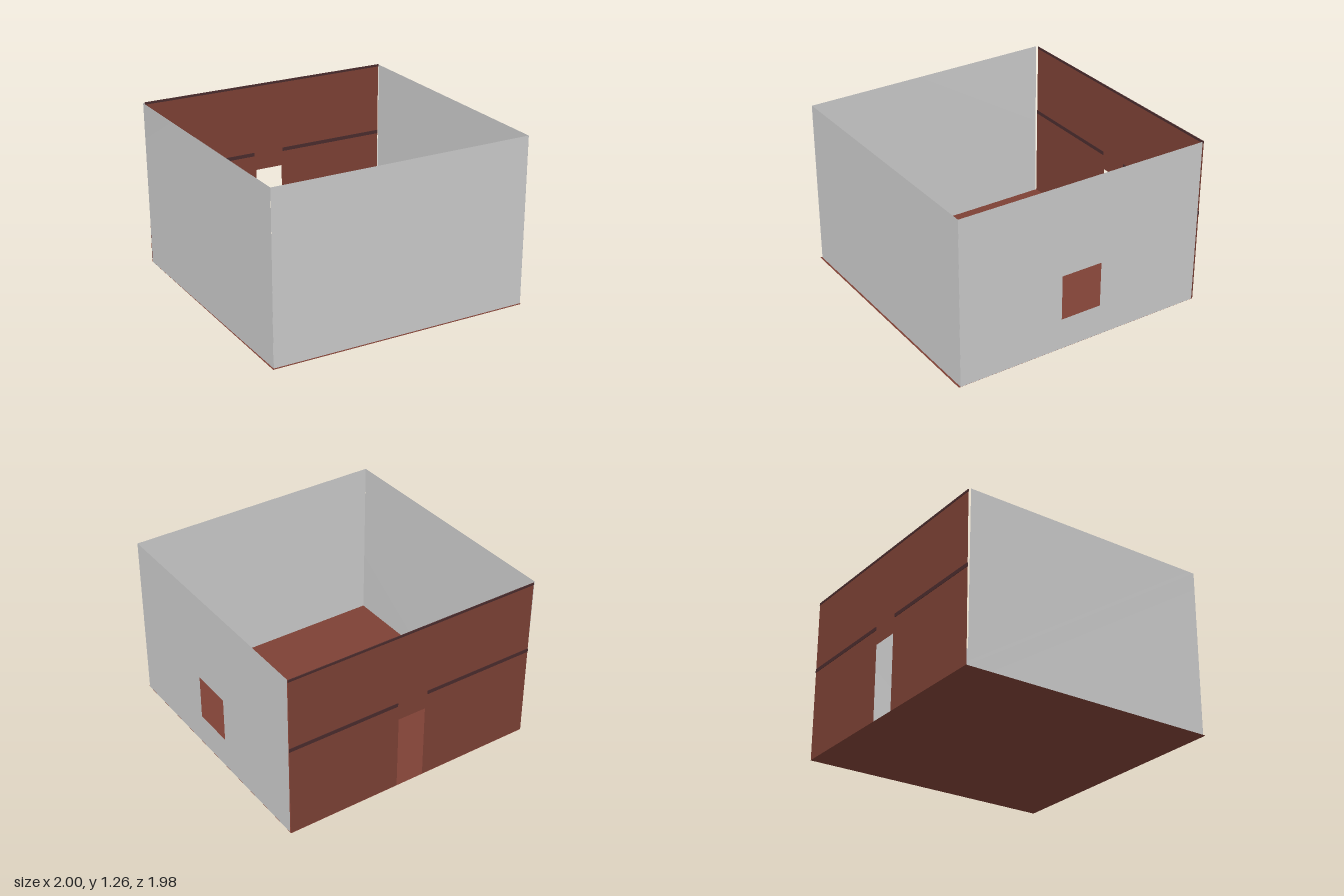
import * as THREE from 'three';

const paint = (name, color) => {
  const m = new THREE.MeshStandardMaterial({ color, side: THREE.DoubleSide });
  m.name = name;
  return m;
};

// Flat upright panel from x0 to x1, with an optional rectangular opening
function panel(x0, x1, height, hole) {
  const rect = (Type, a, b, c, d) => {
    const s = new Type();
    s.moveTo(a, b);
    s.lineTo(c, b);
    s.lineTo(c, d);
    s.lineTo(a, d);
    s.closePath();
    return s;
  };
  const shape = rect(THREE.Shape, x0, 0, x1, height);
  if (hole) shape.holes.push(rect(THREE.Path, ...hole));
  return new THREE.ShapeGeometry(shape);
}

export function createModel() {
  const group = new THREE.Group();
  group.name = 'roomShell';
  const grey = paint('wallGrey', 0xcccccc);
  const brown = paint('brickBrown', 0x7d4135);
  const dark = paint('darkTrim', 0x4a2c2d);
  const H = 1.26, BACK = -0.987;

  const add = (name, geometry, material, x = 0, y = 0, z = 0) => {
    const mesh = new THREE.Mesh(geometry, material);
    mesh.name = name;
    mesh.position.set(x, y, z);
    group.add(mesh);
    return mesh;
  };

  // Floor sheet
  add('floor', new THREE.PlaneGeometry(1.982, 1.98).rotateX(-Math.PI / 2), brown, 0.006);

  // Plain front wall, set slightly in from the floor edge
  add('frontWall', panel(-0.976, 0.997, H), grey, 0, 0, 0.976);

  // Side wall with a square window opening; its local x runs along -z
  add('windowWall', panel(-0.977, 0.977, H, [-0.17, 0.235, 0.15, 0.577]).rotateY(Math.PI / 2), grey, 0.996);

  // Opposite side wall, leaning outwards a little towards the top of the back
  const lean = new THREE.PlaneGeometry(1.955, H).rotateY(-Math.PI / 2).translate(0, H / 2, 0);
  const p = lean.attributes.position;
  for (let i = 0; i < p.count; i++) {
    const toBack = p.getZ(i) < 0 ? 1 : 0, toTop = p.getY(i) > H / 2 ? 1 : 0;
    p.setX(i, -0.974 - 0.011 * toBack - 0.004 * toTop - 0.011 * toBack * toTop);
  }
  lean.computeVertexNormals();
  add('plainSideWall', lean, grey);

  // Back wall with the doorway reaching the floor
  const wall = new THREE.Shape([
    [-0.985, 0], [-0.092, 0], [-0.092, 0.573], [0.128, 0.573], [0.128, 0],
    [0.997, 0], [0.997, H], [-0.985, H],
  ].map(([x, y]) => new THREE.Vector2(x, y)));
  add('doorWall', new THREE.ShapeGeometry(wall), brown, 0, 0, BACK);

  // Dark bands seen on both faces of the back wall, broken above the door
  const band = (name, x0, x1, y, h) =>
    add(name, new THREE.BoxGeometry(x1 - x0, h, 0.006), dark, (x0 + x1) / 2, y, BACK);
  band('bandLeft', 0.138, 0.997, 0.702, 0.028);
  band('bandRight', -0.985, -0.108, 0.702, 0.028);
  band('topTrim', -0.985, 0.997, H - 0.008, 0.017);

  return group;
}
